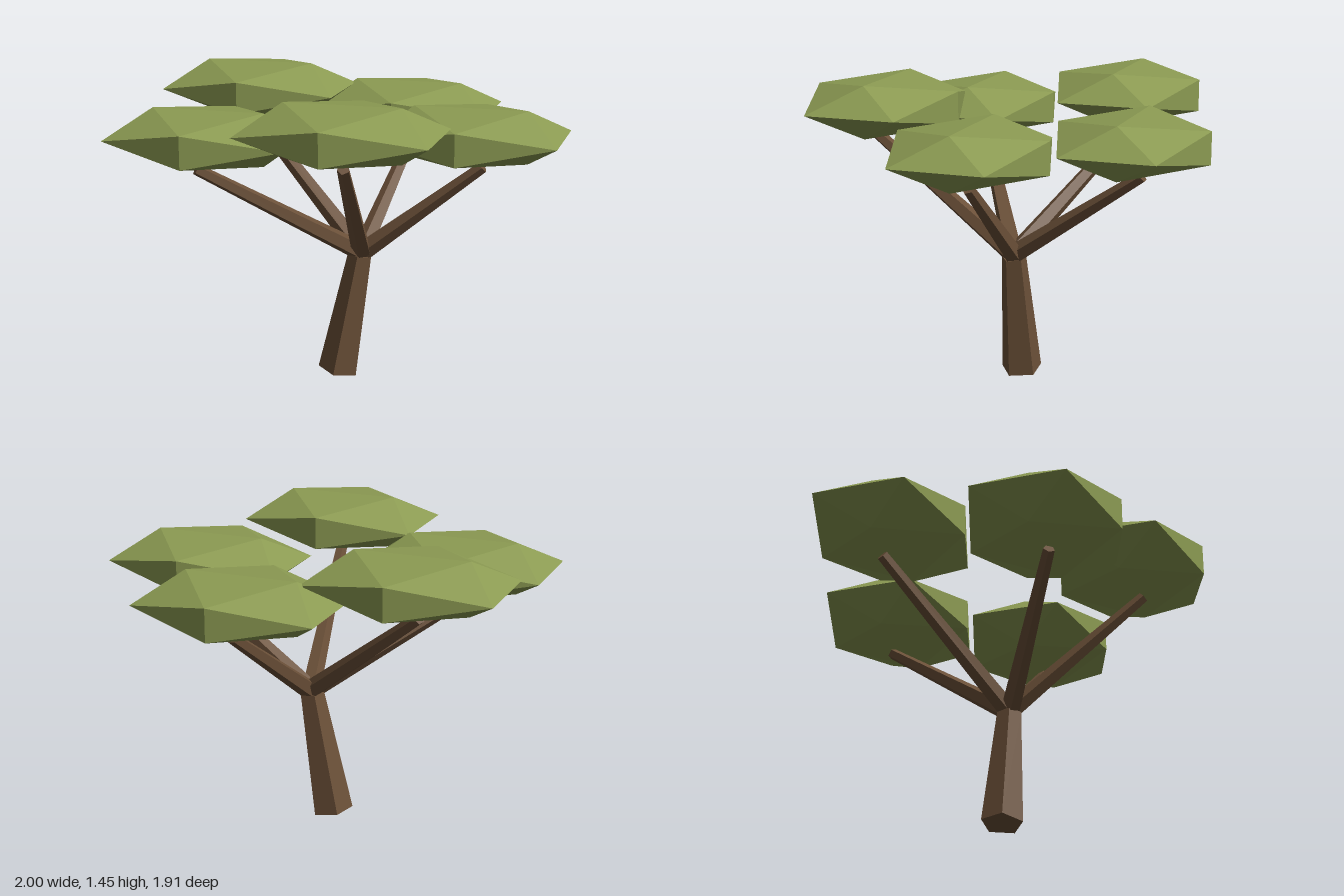
import * as THREE from 'three';

const bark = new THREE.MeshStandardMaterial({ color: 0x6b5038, flatShading: true });
bark.name = 'bark';
const foliage = new THREE.MeshStandardMaterial({ color: 0x8b9a52, flatShading: true });
foliage.name = 'foliage';

const UP = new THREE.Vector3(0, 1, 0);

// Five-sided tapered limb running between two points
function limb(name, from, to, r0, r1) {
  const dir = to.clone().sub(from);
  const mesh = new THREE.Mesh(new THREE.CylinderGeometry(r1, r0, dir.length(), 5), bark);
  mesh.position.copy(from).addScaledVector(dir, 0.5);
  mesh.quaternion.setFromUnitVectors(UP, dir.normalize());
  mesh.name = name;
  return mesh;
}

export function createModel() {
  const tree = new THREE.Group();
  tree.name = 'tree';

  // Leaning trunk
  const fork = new THREE.Vector3(0.055, 0.62, 0);
  tree.add(limb('trunk', new THREE.Vector3(-0.06, 0.018, 0), new THREE.Vector3(0.049, 0.61, 0), 0.1, 0.06));

  // Branch tip [x, y, z] and leaf pad centre [x, y, z]
  const arms = [
    ['left', [0.63, 1.073, 0], [0.57, 1.22, 0]],
    ['frontLeft', [0.15, 1.18, 0.65], [0.13, 1.325, 0.6]],
    ['frontRight', [-0.62, 1.073, 0.4], [-0.57, 1.22, 0.37]],
    ['backRight', [-0.62, 1.18, -0.4], [-0.57, 1.325, -0.37]],
    ['backLeft', [0.15, 1.073, -0.65], [0.13, 1.22, -0.6]],
  ];
  // Flattened faceted leaf pad
  const pad = new THREE.IcosahedronGeometry(1, 0).scale(0.505, 0.145, 0.418);
  for (const [side, tip, centre] of arms) {
    tree.add(limb(side + 'Branch', fork, new THREE.Vector3(...tip), 0.048, 0.028));
    const leaves = new THREE.Mesh(pad, foliage);
    leaves.position.set(...centre);
    leaves.name = side + 'Leaves';
    tree.add(leaves);
  }
  return tree;
}
